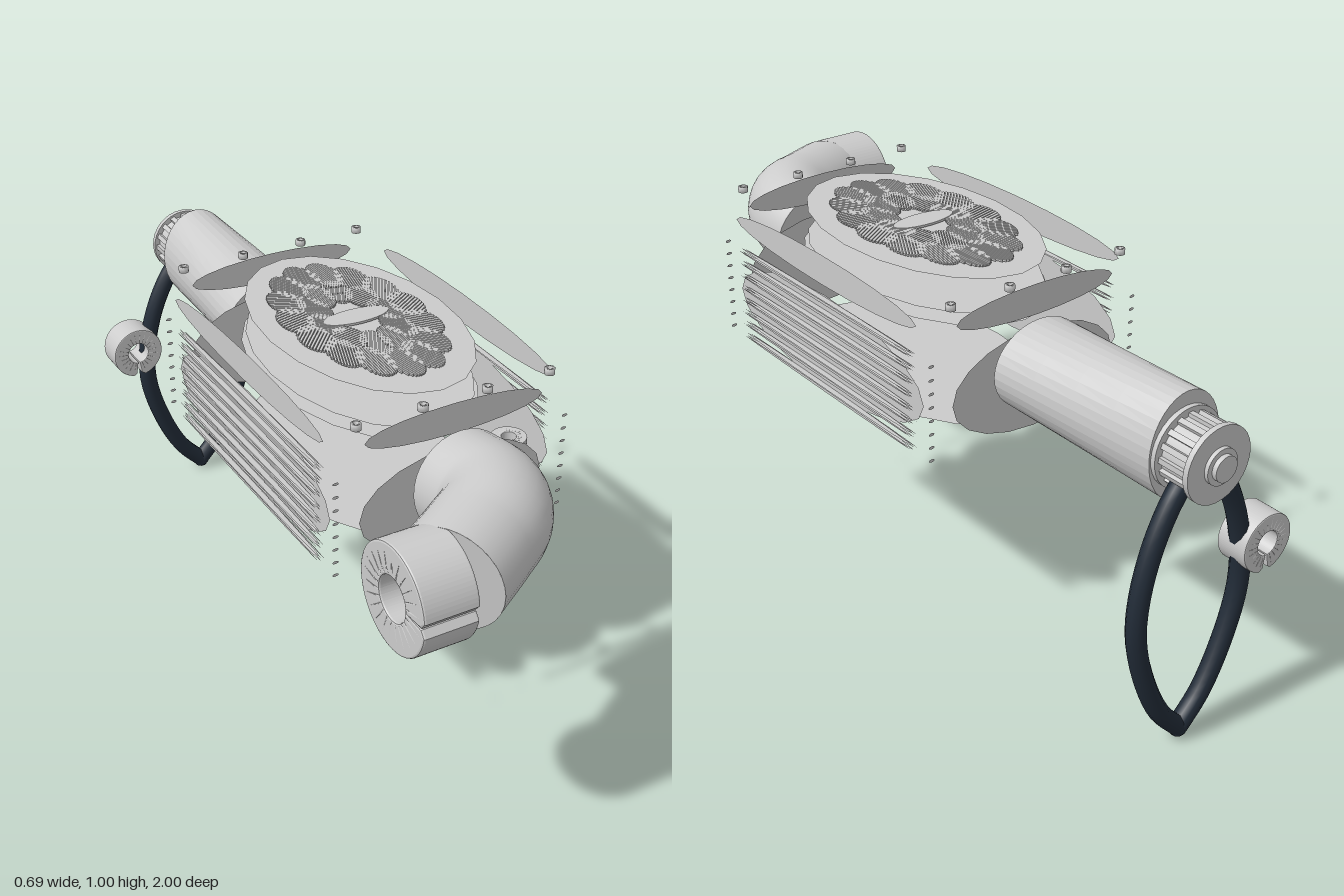
import * as THREE from 'three';
import { mergeGeometries } from 'three/addons/utils/BufferGeometryUtils.js';

const grey = new THREE.MeshStandardMaterial({ color: 0xcccccc, side: THREE.DoubleSide });
const dark = new THREE.MeshStandardMaterial({ color: 0x222c38 });
const CX = 0.023, CZ = 0.079; // centre of the body
const V = (x, y, z) => new THREE.Vector3(x, y, z);

// Box made of six separate oval plates: o = half sizes of the ovals, p = distances of the plates
function ovalBox(o, p, sides) {
  const plates = [];
  const oval = (a, b) => new THREE.CircleGeometry(1, sides).scale(a, b, 1);
  for (const s of [1, -1]) {
    plates.push(oval(o[0], o[1]).rotateY(s > 0 ? 0 : Math.PI).translate(0, 0, s * p[2]));
    plates.push(oval(o[2], o[1]).rotateY((s * Math.PI) / 2).translate(s * p[0], 0, 0));
    plates.push(oval(o[0], o[2]).rotateX((-s * Math.PI) / 2).translate(0, s * p[1], 0));
  }
  return mergeGeometries(plates);
}

// Split ring with a slotted bore, axis along z, gap at angle "gap"
function splitRing(r, depth, gap, slit) {
  const shape = new THREE.Shape();
  const slots = 22, start = gap + slit, sweep = Math.PI * 2 - 2 * slit;
  const to = (a, q) => shape.lineTo(Math.cos(a) * q * r, Math.sin(a) * q * r);
  shape.absarc(0, 0, r * 0.96, start + 0.1, start + sweep - 0.1, false);
  to(start + sweep, 0.87);
  for (let i = slots * 6; i >= 0; i--) to(start + (sweep * i) / (slots * 6), i % 6 === 3 ? 0.86 : 0.45);
  to(start, 0.87);
  const b = r * 0.04;
  return new THREE.ExtrudeGeometry(shape, {
    depth: depth - 2 * b, bevelThickness: b, bevelSize: b, bevelSegments: 2, curveSegments: 40,
  }).translate(0, 0, b - depth / 2);
}

export function createModel() {
  const model = new THREE.Group();
  const add = (name, geometry, x = 0, y = 0, z = 0, material = grey) => {
    const mesh = new THREE.Mesh(geometry, material);
    mesh.name = name;
    mesh.position.set(x, y, z);
    model.add(mesh);
    return mesh;
  };

  // Body and lid
  add('body', ovalBox([0.248, 0.133, 0.408], [0.3, 0.135, 0.45], 20), CX, 0.73, CZ);
  add('lid', ovalBox([0.237, 0.04, 0.395], [0.31, 0.045, 0.45], 20), CX, 0.936, CZ);

  for (const s of [-1, 1]) {
    // Cooling fins along both sides
    for (let i = 0; i < 8; i++) {
      add('fin', ovalBox([0.008, 0.004, 0.38], [0.009, 0.004, 0.45], 16), CX + s * 0.309, 0.607 + i * 0.0354, CZ);
    }
    // Hollow bolts along both ends
    for (let i = 0; i < 4; i++) {
      const profile = [[0.006, 0], [0.013, 0], [0.013, 0.015], [0.006, 0.015], [0.006, 0]];
      const bolt = new THREE.LatheGeometry(profile.map(p => new THREE.Vector2(...p)), 10);
      add('bolt', bolt, -0.236 + i * 0.171, 0.982, CZ + s * 0.45);
    }
  }

  // Top grille: rings of leaves, each made of fine parallel slats
  const slats = [];
  const leaves = (count, radius, length, width, twist) => {
    for (let k = 0; k < count; k++) {
      const a = (k / count) * Math.PI * 2;
      for (let j = -6; j <= 6; j++) {
        const t = j / 6.5;
        const slat = new THREE.BoxGeometry(length * Math.sqrt(1 - t * t), 0.005, width / 18);
        slat.translate(0, 0, (t * width) / 2).rotateY(twist).translate(radius, 0, 0).rotateY(a);
        slats.push(slat.scale(0.18, 1, 0.32));
      }
    }
  };
  leaves(15, 0.79, 0.46, 0.42, 0.35);
  leaves(10, 0.47, 0.44, 0.36, -0.5);
  add('grille', mergeGeometries(slats), CX, 0.987, 0.075);
  add('grilleCentre', new THREE.CylinderGeometry(1, 1, 0.006, 24).scale(0.09, 1, 0.035), CX, 0.988, 0.075);

  // Split rings at the outlet, the body corner and the strap
  add('outletRing', splitRing(0.129, 0.135, Math.PI, 0.06).rotateY(Math.PI / 2), -0.277, 0.787, 0.87);
  add('cornerRing', splitRing(0.045, 0.115, -Math.PI / 2, 0.14).rotateX(-Math.PI / 2), 0.267, 0.692, 0.403);
  add('hangingRing', splitRing(0.076, 0.085, -Math.PI / 2, 0.16), -0.181, 0.485, -0.923);

  // Front elbow pipe with a narrower bore and ring-shaped ends
  const bend = new THREE.CatmullRomCurve3([
    V(0.025, 0.785, 0.568), V(0.024, 0.8, 0.68), V(-0.015, 0.805, 0.75), V(-0.09, 0.797, 0.8), V(-0.203, 0.787, 0.867),
  ]);
  add('elbowPipe', new THREE.TubeGeometry(bend, 32, 0.131, 32));
  add('elbowBore', new THREE.TubeGeometry(bend, 32, 0.06, 24));
  for (const t of [0, 1]) {
    const end = bend.getPoint(t);
    const ring = add('elbowEnd', new THREE.RingGeometry(0.06, 0.131, 32), end.x, end.y, end.z);
    ring.lookAt(end.add(bend.getTangent(t).multiplyScalar(t ? 1 : -1)));
  }

  // Rear barrel: hollow, its oval section changing from wide to tall
  const outline = [[0.45, 0.245], [1, 0.245], [1, 0.12], [1, 0], [1, -0.12], [1, -0.245], [0.45, -0.245], [0.45, 0.245]];
  const barrel = new THREE.LatheGeometry(outline.map(p => new THREE.Vector2(...p)), 36).rotateX(Math.PI / 2);
  const pos = barrel.attributes.position;
  for (let i = 0; i < pos.count; i++) {
    const t = 0.5 - pos.getZ(i) / 0.49; // 0 at the body, 1 at the rear
    pos.setX(i, pos.getX(i) * (0.135 - 0.03 * t));
    pos.setY(i, pos.getY(i) * (0.115 + 0.02 * t));
  }
  const barrelFlat = barrel.toNonIndexed();
  barrelFlat.computeVertexNormals();
  add('rearBarrel', barrelFlat, CX, 0.775, -0.628);

  // Rear hub: flange, ribbed drum, rim and knob
  const disc = (name, r, z0, z1) =>
    add(name, new THREE.CylinderGeometry(r, r, z0 - z1, 32).rotateX(Math.PI / 2), CX, 0.775, (z0 + z1) / 2);
  disc('hubFlange', 0.1, -0.873, -0.885);
  disc('hubDrum', 0.08, -0.885, -0.968);
  disc('hubRim', 0.095, -0.964, -0.978);
  disc('hubStep', 0.045, -0.978, -0.988);
  disc('hubKnob', 0.032, -0.988, -1);
  const ribs = [];
  for (let i = 0; i < 16; i++) {
    ribs.push(new THREE.BoxGeometry(0.014, 0.01, 0.08).translate(0, 0.084, 0).rotateZ((i * Math.PI) / 8));
  }
  add('hubRibs', mergeGeometries(ribs), CX, 0.775, -0.925);

  // Pointed strap loop hanging from the hub
  for (const s of [-1, 1]) {
    const path = new THREE.CatmullRomCurve3([
      [0, 0.027], [0.065, 0.1], [0.125, 0.225], [0.16, 0.36], [0.157, 0.47], [0.127, 0.59], [0.085, 0.68], [0.05, 0.73],
    ].map(([x, y]) => V(CX + s * x, y, -0.925)));
    add('strap', new THREE.TubeGeometry(path, 24, 0.025, 10), 0, 0, 0, dark);
  }
  add('strapTip', new THREE.SphereGeometry(0.024, 10, 8), CX, 0.024, -0.925, dark);
  return model;
}
